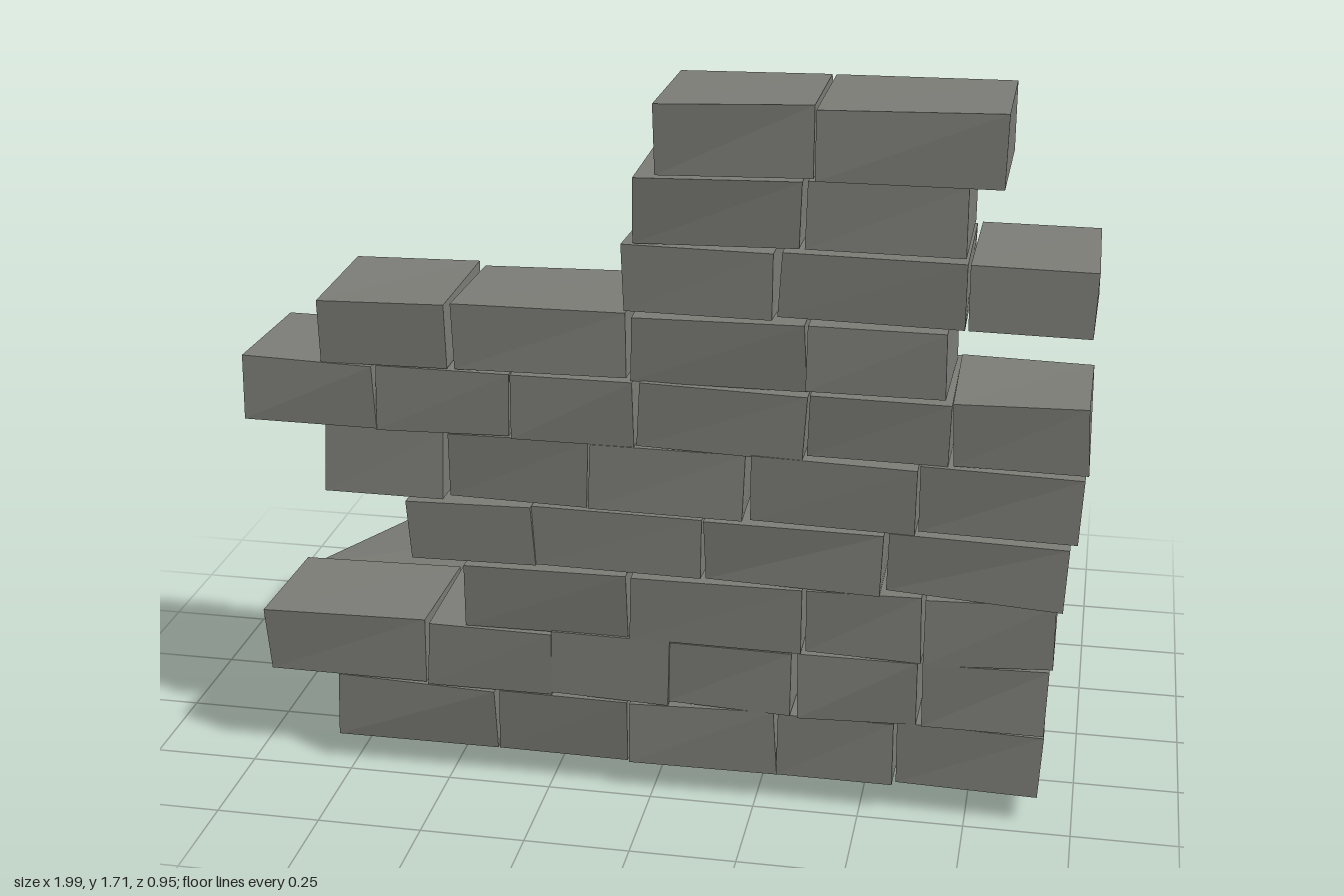
import * as THREE from 'three';
import { ConvexGeometry } from 'three/addons/geometries/ConvexGeometry.js';

// Small seeded generator for the uneven brick corners
function seeded(seed) {
  let s = seed;
  return () => {
    s = (s * 16807) % 2147483647;
    return s / 2147483647 - 0.5;
  };
}

// Courses from the ground up: bottom, top, bricks as [left, right, tilt]
const courses = [
  [0.07, 0.23, [[-0.79, -0.39, -0.01], [-0.38, -0.065, 0], [-0.06, 0.295, 0.015], [0.3, 0.58, 0.02], [0.585, 0.92, -0.015]]],
  [0.235, 0.395, [[-0.96, -0.56, 0.02], [-0.55, -0.245, -0.01], [-0.245, 0.035, -0.01], [0.035, 0.335, 0], [0.345, 0.63, 0.01], [0.64, 0.925, -0.015]]],
  [0.4, 0.56, [[-0.455, -0.065, 0.01], [-0.055, 0.355, 0], [0.365, 0.635, -0.01], [0.64, 0.935, 0.02]]],
  [0.565, 0.715, [[-0.585, -0.285, 0.02], [-0.285, 0.12, 0], [0.125, 0.54, -0.025], [0.55, 0.955, -0.035]]],
  [0.725, 0.885, [[-0.785, -0.495, 0.01], [-0.485, -0.155, 0, -0.013], [-0.15, 0.21, -0.025], [0.23, 0.61, -0.015], [0.615, 0.98, -0.01]]],
  [0.89, 1.045, [[-0.975, -0.655, -0.015], [-0.655, -0.335, 0], [-0.335, -0.04, 0.01], [-0.03, 0.355, -0.01], [0.36, 0.68, -0.015], [0.685, 0.985, 0.005]]],
  [1.05, 1.205, [[-0.785, -0.485, 0.01], [-0.465, -0.06, 0.005], [-0.05, 0.35, 0], [0.355, 0.665, -0.01]]],
  [1.215, 1.37, [[-0.065, 0.28, -0.01], [0.29, 0.7, -0.01], [0.71, 0.985, -0.015]]],
  [1.38, 1.535, [[-0.04, 0.335, 0.01], [0.345, 0.695, 0]]],
  [1.54, 1.7, [[0.01, 0.36, 0.015], [0.365, 0.775, 0.008]]],
];

// Corners of the two fallen stones: upper four, then lower four
const stones = {
  largeFallenStone: [
    [-0.82, 0.31, -0.34], [-0.45, 0.375, -0.14], [-0.57, 0.345, 0.07], [-1, 0.305, 0],
    [-0.83, 0.1, -0.26], [-0.52, 0, -0.2], [-0.58, 0.06, 0.16], [-0.91, 0.09, 0.05],
  ],
  smallFallenStone: [
    [0.36, 0.255, -0.48], [0.585, 0.285, -0.3], [0.555, 0.27, -0.135], [0.21, 0.24, -0.31],
    [0.37, 0.09, -0.47], [0.635, 0.085, -0.325], [0.495, 0.07, -0.12], [0.235, 0.07, -0.26],
  ],
};

// A box with its eight shared corners nudged slightly
function brickGeometry(w, h, d, rand) {
  const corners = Array.from({ length: 8 }, () => [rand() * 0.01, rand() * 0.008, rand() * 0.016]);
  const box = new THREE.BoxGeometry(w, h, d);
  const p = box.attributes.position;
  for (let i = 0; i < p.count; i++) {
    const x = p.getX(i), y = p.getY(i), z = p.getZ(i);
    const c = corners[(x > 0 ? 1 : 0) + (y > 0 ? 2 : 0) + (z > 0 ? 4 : 0)];
    p.setXYZ(i, x + c[0], y + c[1], z + c[2]);
  }
  const flat = box.toNonIndexed();
  flat.computeVertexNormals();
  return flat;
}

export function createModel() {
  const model = new THREE.Group();
  model.name = 'ruinedWall';
  const stone = new THREE.MeshStandardMaterial({ color: 0x7d7d78 });
  stone.name = 'greyStone';
  stone.flatShading = true;
  const rand = seeded(417);

  // Wall, one group per course
  courses.forEach(([bottom, top, bricks], row) => {
    const course = new THREE.Group();
    course.name = `brickCourse${row + 1}`;
    for (const [left, right, tilt, shift = 0] of bricks) {
      const brick = new THREE.Mesh(brickGeometry(right - left, top - bottom, 0.325, rand), stone);
      brick.name = 'brick';
      brick.position.set((left + right) / 2, (bottom + top) / 2, 0.298 + shift);
      brick.rotation.set(rand() * 0.02, rand() * 0.02, tilt);
      course.add(brick);
    }
    model.add(course);
  });

  // Rubble behind the wall
  for (const [name, corners] of Object.entries(stones)) {
    const points = corners.map((c) => new THREE.Vector3(...c));
    const mesh = new THREE.Mesh(new ConvexGeometry(points), stone);
    mesh.name = name;
    model.add(mesh);
  }
  return model;
}
